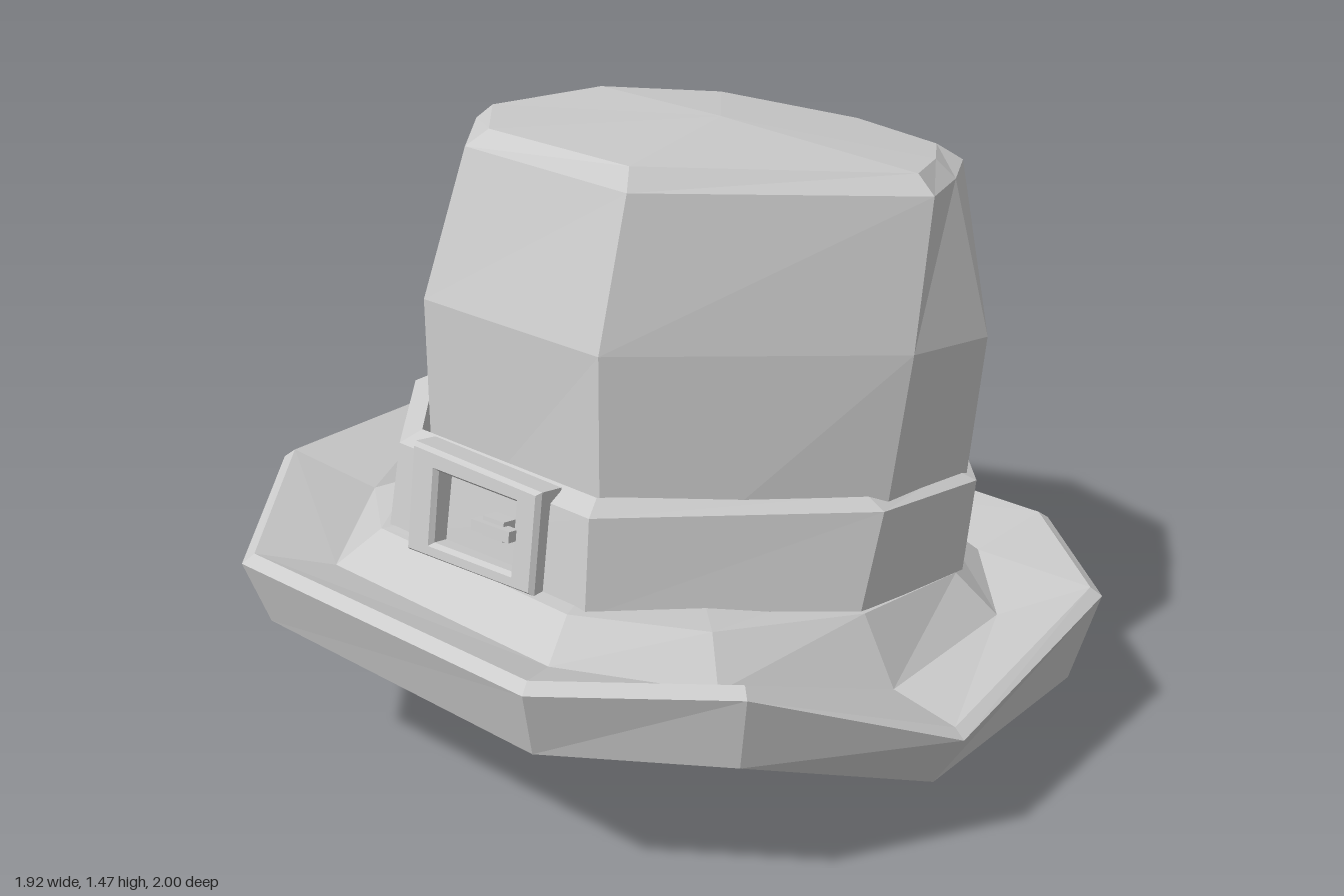
import * as THREE from 'three';

const material = new THREE.MeshStandardMaterial({ color: 0xcccccc, flatShading: true, side: THREE.DoubleSide });

// Skin a list of closed rings ([x, y, z] points); a one-point ring makes a fan.
function loft(name, rings) {
  const out = [];
  for (let k = 0; k < rings.length - 1; k++) {
    const a = rings[k], b = rings[k + 1];
    const n = Math.max(a.length, b.length);
    for (let i = 0; i < n; i++) {
      const j = (i + 1) % n;
      const a0 = a[i % a.length], a1 = a[j % a.length];
      const b0 = b[i % b.length], b1 = b[j % b.length];
      if (a.length > 1) out.push(...a0, ...a1, ...b1);
      if (b.length > 1) out.push(...a0, ...b1, ...b0);
    }
  }
  const geo = new THREE.BufferGeometry();
  geo.setAttribute('position', new THREE.Float32BufferAttribute(out, 3));
  geo.computeVertexNormals();
  const mesh = new THREE.Mesh(geo, material);
  mesh.name = name;
  return mesh;
}

// Shrink a ring towards the hat's axis and lift it.
const inset = (ring, s, dy) => ring.map(([x, y, z]) => [x * s, y + dy, z * s]);

function makeBrim() {
  // Ten-sided rings, starting at the front and running towards +x
  const lip = [
    [-0.2, 0.28, 0.75], [0.4, 0.28, 0.6], [0.63, 0.27, 0.38], [0.7, 0.12, 0], [0.56, 0.08, -0.42],
    [0.24, 0, -0.65], [-0.22, 0.02, -0.65], [-0.61, 0.1, -0.4], [-0.68, 0.22, 0], [-0.53, 0.27, 0.5]];
  const edge = [
    [-0.28, 0.39, 0.95], [0.53, 0.37, 0.8], [0.82, 0.36, 0.5], [0.88, 0.16, 0], [0.76, 0.16, -0.58],
    [0.3, 0.05, -0.86], [-0.35, 0.08, -0.82], [-0.86, 0.2, -0.48], [-0.89, 0.32, 0], [-0.7, 0.36, 0.61]];
  const rim = [
    [-0.3, 0.54, 1], [0.56, 0.53, 0.84], [0.85, 0.53, 0.51], [0.96, 0.3, 0], [0.8, 0.375, -0.63],
    [0.32, 0.3, -1], [-0.37, 0.29, -0.92], [-0.92, 0.34, -0.52], [-0.96, 0.53, 0], [-0.75, 0.56, 0.65]];
  const channel = [
    [-0.22, 0.51, 0.81], [0.45, 0.5, 0.7], [0.68, 0.45, 0.44], [0.75, 0.33, 0], [0.64, 0.32, -0.45],
    [0.34, 0.3, -0.71], [-0.22, 0.3, -0.65], [-0.67, 0.33, -0.37], [-0.67, 0.44, 0.03], [-0.54, 0.51, 0.52]];
  // Hollow underneath: steep walls to a small ceiling
  const ceiling = lip.map(([x, , z]) => [x * 0.7, 0.37 + 0.02 * z, z * 0.7]);
  // Seat under the band, sloping down to the back
  const seat = channel.map(([x, , z]) => [x * 0.87, 0.475 + 0.13 * z, z * 0.87]);
  return loft('brim', [
    [[-0.04, 0.39, 0.13]], ceiling, lip, edge, rim, inset(rim, 0.972, 0.02), channel, seat, inset(seat, 0.8, 0)]);
}

function makeCrown() {
  // Nine-sided rings, bottom to top
  const base = [
    [-0.18, 0.5, 0.57], [0.36, 0.5, 0.5], [0.59, 0.45, -0.08], [0.52, 0.42, -0.42], [0.29, 0.4, -0.59],
    [-0.13, 0.4, -0.63], [-0.48, 0.42, -0.42], [-0.57, 0.45, -0.02], [-0.48, 0.5, 0.36]];
  const middle = [
    [-0.18, 1.1, 0.57], [0.34, 1.09, 0.48], [0.62, 1.03, -0.15], [0.54, 0.98, -0.47], [0.3, 0.98, -0.66],
    [-0.13, 0.97, -0.7], [-0.49, 1.0, -0.48], [-0.58, 1.04, -0.1], [-0.49, 1.08, 0.3]];
  const shoulder = [
    [-0.16, 1.43, 0.46], [0.31, 1.41, 0.38], [0.59, 1.36, -0.22], [0.435, 1.33, -0.45], [0.27, 1.31, -0.65],
    [-0.12, 1.31, -0.69], [-0.42, 1.35, -0.48], [-0.52, 1.38, -0.13], [-0.45, 1.41, 0.24]];
  const cap = [
    [-0.14, 1.465, 0.41], [0.28, 1.455, 0.35], [0.54, 1.4, -0.22], [0.39, 1.37, -0.43], [0.22, 1.345, -0.61],
    [-0.09, 1.345, -0.65], [-0.38, 1.39, -0.45], [-0.47, 1.43, -0.14], [-0.41, 1.445, 0.22]];
  return loft('crown', [base, middle, shoulder, cap, [[0, 1.44, -0.13]]]);
}

function makeBand() {
  const lower = [
    [-0.2, 0.56, 0.68], [0.4, 0.55, 0.57], [0.64, 0.47, 0], [0.56, 0.42, -0.41], [0.33, 0.385, -0.62],
    [-0.19, 0.385, -0.64], [-0.58, 0.43, -0.42], [-0.63, 0.48, 0], [-0.54, 0.56, 0.43]];
  const upper = [
    [-0.2, 0.77, 0.64], [0.38, 0.76, 0.54], [0.63, 0.69, -0.07], [0.56, 0.64, -0.44], [0.32, 0.62, -0.64],
    [-0.14, 0.62, -0.68], [-0.53, 0.64, -0.46], [-0.61, 0.7, -0.03], [-0.52, 0.77, 0.4]];
  return loft('band', [inset(lower, 0.85, 0), lower, upper, inset(upper, 0.92, 0.025)]);
}

function makeBuckle() {
  const buckle = new THREE.Group();
  buckle.name = 'buckle';
  const frame = new THREE.Shape([[-0.18, -0.115], [0.18, -0.115], [0.18, 0.1], [-0.18, 0.12]]
    .map(([x, y]) => new THREE.Vector2(x, y)));
  frame.holes.push(new THREE.Path([[-0.12, -0.095], [-0.12, 0.085], [0.13, 0.078], [0.13, -0.095]]
    .map(([x, y]) => new THREE.Vector2(x, y))));
  const frameGeo = new THREE.ExtrudeGeometry(frame, {
    depth: 0.06, bevelEnabled: true, bevelSegments: 1, bevelSize: 0.008, bevelThickness: 0.012 });
  frameGeo.translate(0, 0, -0.035);
  const frameMesh = new THREE.Mesh(frameGeo, material);
  frameMesh.name = 'buckleFrame';
  buckle.add(frameMesh);

  // Prong: a short bar with a thicker stub
  for (const [name, w, h, d, x, z] of [
    ['prongBar', 0.11, 0.025, 0.03, 0.08, 0.045], ['prongStub', 0.06, 0.045, 0.04, 0.075, 0.025]]) {
    const bar = new THREE.Mesh(new THREE.BoxGeometry(w, h, d), material);
    bar.name = name;
    bar.position.set(x, 0, z);
    buckle.add(bar);
  }
  buckle.position.set(0.09, 0.685, 0.615);
  buckle.rotation.set(-0.15, 0.22, 0, 'YXZ');
  return buckle;
}

export function createModel() {
  const hat = new THREE.Group();
  hat.name = 'hat';
  hat.add(makeBrim(), makeCrown(), makeBand(), makeBuckle());
  return hat;
}
